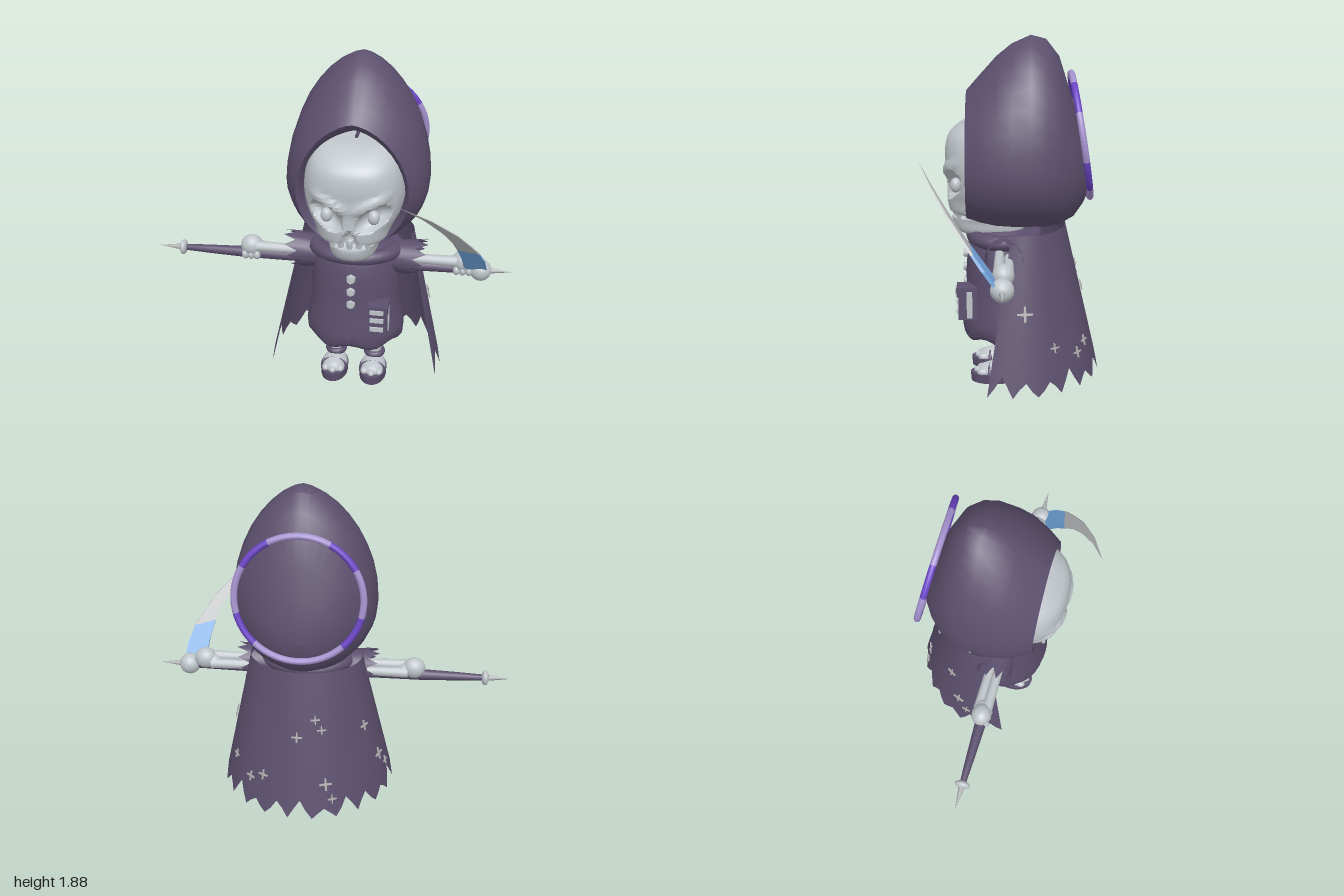
import * as THREE from 'three';
import { toCreasedNormals } from 'three/addons/utils/BufferGeometryUtils.js';

const mat = (name, color, side = THREE.FrontSide) => {
  const m = new THREE.MeshStandardMaterial({ color, side });
  m.name = name;
  return m;
};

// Closed loft through rings of equal point count
function loft(rings, crease = 0.7) {
  const n = rings[0].length, index = [];
  for (let i = 0; i < rings.length - 1; i++)
    for (let j = 0; j < n; j++) {
      const a = i * n + j, b = i * n + (j + 1) % n;
      index.push(a, b, b + n, a, b + n, a + n);
    }
  const g = new THREE.BufferGeometry();
  g.setAttribute('position', new THREE.Float32BufferAttribute(rings.flat(2), 3));
  g.setIndex(index);
  return toCreasedNormals(g, crease);
}
const ring = (n, fn) => Array.from({ length: n }, (_, i) => fn(i / n * Math.PI * 2));
const spow = (v, p) => Math.sign(v) * Math.abs(v) ** p;
const lerp = THREE.MathUtils.lerp;

// Move each vertex by a rule
function bend(g, fn) {
  const p = g.attributes.position, v = new THREE.Vector3();
  for (let i = 0; i < p.count; i++) {
    fn(v.fromBufferAttribute(p, i), i);
    p.setXYZ(i, v.x, v.y, v.z);
  }
  g.computeVertexNormals();
  return g;
}

export function createModel() {
  const cloth = mat('dark cloth', 0x5c506e, THREE.DoubleSide);
  const bone = mat('bone', 0xbfc5ca);
  const steel = mat('steel', 0xb2b4b6);
  const blue = mat('blue steel', 0x70a3da);
  const lilac = mat('lilac', 0xa592cf);
  const violet = mat('violet', 0x6c45c6);
  const star = mat('pale star', 0xb0aeae, THREE.DoubleSide);

  const model = new THREE.Group();
  const figure = new THREE.Group();
  figure.name = 'figure';
  figure.position.x = 0.138;
  const weapon = new THREE.Group();
  weapon.name = 'scythe';
  model.add(figure, weapon);
  const add = (parent, name, geo, material, x = 0, y = 0, z = 0) => {
    const m = new THREE.Mesh(geo, material);
    m.name = name;
    m.position.set(x, y, z);
    parent.add(m);
    return m;
  };
  const ball = (parent, name, material, x, y, z, rx, ry = rx, rz = rx) =>
    add(parent, name, new THREE.SphereGeometry(1, 18, 12).scale(rx, ry, rz), material, x, y, z);
  const rod = (r1, r0, h, n = 14, open = false) => new THREE.CylinderGeometry(r1, r0, h, n, 1, open);

  // Hood: egg-shaped rings from the lining, over the rim, to the back [z, half width, top, bottom]
  const hoodRings = [
    [-0.05, 0.01, 1.21, 1.19], [-0.03, 0.25, 1.46, 0.98], [0.1, 0.27, 1.51, 0.94], [0.215, 0.28, 1.555, 0.92],
    [0.24, 0.3, 1.59, 0.9], [0.17, 0.345, 1.67, 0.88], [0.08, 0.38, 1.77, 0.865], [0, 0.388, 1.835, 0.86],
    [-0.1, 0.387, 1.88, 0.86], [-0.18, 0.37, 1.86, 0.86], [-0.25, 0.335, 1.77, 0.87], [-0.33, 0.255, 1.52, 0.91],
    [-0.38, 0.175, 1.34, 0.98], [-0.41, 0.08, 1.21, 1.04], [-0.418, 0.002, 1.122, 1.118]];
  add(figure, 'hood', loft(hoodRings.map(([z, w, top, bot]) => {
    const mid = Math.min(1.2, lerp(bot, top, 0.5));
    return ring(36, t => {
      const c = Math.cos(t);
      return [w * spow(Math.sin(t), c > 0 ? 1.25 : 0.95), mid + c * (c > 0 ? top - mid : mid - bot), z];
    });
  })), cloth);

  // Skull: rows of [half width, height, front depth] with sockets, brow, nose and mouth pressed in
  const rows = [[0.01, 0.815, 0.2], [0.1, 0.82, 0.26], [0.128, 0.845, 0.3], [0.138, 0.9, 0.32], [0.155, 0.93, 0.315],
    [0.2, 0.955, 0.335], [0.22, 1.02, 0.345], [0.25, 1.08, 0.345], [0.272, 1.18, 0.35], [0.268, 1.28, 0.355],
    [0.25, 1.36, 0.335], [0.22, 1.42, 0.27], [0.18, 1.455, 0.2], [0.01, 1.465, 0.1]];
  const curve = new THREE.CatmullRomCurve3(rows.map(r => new THREE.Vector3(...r)));
  const pit = (x, y, rx, ry) => Math.max(0, 1 - ((x / rx) ** 2 + (y / ry) ** 2) ** 1.5);
  const relief = (x, y) => {
    const ax = Math.abs(x), sy = y - (ax - 0.125) * 0.4;
    return -0.075 * pit(ax - 0.125, sy - 1.105, 0.095, 0.072) + 0.02 * pit(ax - 0.11, sy - 1.195, 0.12, 0.04)
      - 0.035 * pit(ax - 0.015, y - 1.0 + ax, 0.03, 0.045) - 0.045 * pit(x, y - 0.935 + 0.3 * ax * ax, 0.17, 0.02);
  };
  add(figure, 'skull', loft(curve.getPoints(65).map(p => ring(80, t => {
    const x = Math.max(p.x, 0.005) * spow(Math.sin(t), 0.85), c = Math.cos(t);
    return [x, p.y, c > 0 ? 0.05 + (p.z - 0.05) * c ** 0.65 + (c > 0.3 ? relief(x, p.y) : 0) : 0.05 + 0.12 * c];
  })), 0.5), bone);
  for (const s of [-1, 1]) ball(figure, 'eye', bone, s * 0.125, 1.105, 0.295, 0.032, 0.04, 0.03);
  for (let i = -2; i <= 2; i++) {
    const tooth = add(figure, 'tooth', rod(0.022, 0.013, 0.045, 6), bone, i * 0.048, 0.93, 0.305 - Math.abs(i) * 0.012);
    tooth.scale.z = 0.6;
  }

  // Dress with a slightly wavy hem
  const profile = [[0, 0.31], [0.2, 0.28], [0.25, 0.255], [0.27, 0.28], [0.277, 0.34], [0.262, 0.42], [0.246, 0.54],
    [0.25, 0.6], [0.24, 0.68], [0.235, 0.76], [0.2, 0.84], [0, 0.87]].map(p => new THREE.Vector2(...p));
  add(figure, 'dress', bend(new THREE.LatheGeometry(profile, 40), v => {
    if (v.y < 0.3) v.y += 0.015 * Math.cos(6 * Math.atan2(v.x, v.z));
    v.z = v.z * 0.84 + 0.04;
  }), cloth);
  const collar = add(figure, 'collar', new THREE.TorusGeometry(0.2, 0.045, 10, 32).rotateX(Math.PI / 2), cloth, 0, 0.81, 0.04);
  collar.scale.set(1.1, 0.9, 0.85);
  for (const y of [0.697, 0.62, 0.542])
    add(figure, 'button', rod(0.022, 0.03, 0.03, 6).rotateX(Math.PI / 2), bone, 0, y, 0.248);

  // Belt pouch
  add(figure, 'pouch', new THREE.BoxGeometry(0.1, 0.175, 0.1), cloth, 0.155, 0.468, 0.235);
  add(figure, 'pouchFlap', new THREE.BoxGeometry(0.11, 0.05, 0.11), cloth, 0.155, 0.535, 0.24);
  for (const y of [0.42, 0.475, 0.53])
    add(figure, 'pouchStrap', new THREE.BoxGeometry(0.075, 0.025, 0.02), bone, 0.15, y, y > 0.5 ? 0.293 : 0.285);
  add(figure, 'pouchSide', new THREE.BoxGeometry(0.008, 0.15, 0.03), bone, 0.208, 0.465, 0.225);

  // Cape: open shell with a ragged hem; a is the angle from the middle of the back
  const capePoint = (a, y, out = 0) => {
    const k = (0.875 - y) / 0.82;
    return new THREE.Vector3((lerp(0.31, 0.49, k) + out) * Math.sin(a), y,
      lerp(-0.06, 0, k) - (lerp(0.23, 0.48, k) + out) * Math.cos(a));
  };
  const teeth = 13, reach = 1.84;
  add(figure, 'cape', bend(new THREE.PlaneGeometry(1, 1, teeth * 4, 6), v => {
    const u = (v.x + 0.5) * teeth, wave = Math.abs((u % 1) * 2 - 1);
    const hem = 0.05 + (1 - wave) * (0.085 + 0.03 * Math.sin(u * 2.3));
    v.copy(capePoint(-v.x * 2 * reach, lerp(hem, 0.875, v.y + 0.5)));
  }), cloth);

  // Four-pointed stars on the cape [angle in degrees, height, size]
  const stars = [[84, 0.48, 0.042], [60, 0.29, 0.026], [39, 0.23, 0.03], [3, 0.52, 0.03], [-12, 0.62, 0.025],
    [-17, 0.56, 0.025], [-58, 0.52, 0.03], [-18, 0.25, 0.036], [-22, 0.16, 0.026], [-70, 0.3, 0.036],
    [-78, 0.22, 0.026], [28, 0.27, 0.03]];
  for (const [deg, y, r] of stars) {
    const a = deg * Math.PI / 180;
    const shape = new THREE.Shape(Array.from({ length: 12 }, (_, i) => {
      const q = Math.floor(i / 3) * Math.PI / 2, [px, py] = [[r, -0.12 * r], [r, 0.12 * r], [0.16 * r, 0.16 * r]][i % 3];
      return new THREE.Vector2(px * Math.cos(q) - py * Math.sin(q), px * Math.sin(q) + py * Math.cos(q));
    }));
    const m = add(figure, 'capeStar', new THREE.ExtrudeGeometry(shape, { depth: 0.008, bevelEnabled: false }), star);
    m.position.copy(capePoint(a, y, 0.004));
    m.rotation.set(-0.24, Math.PI - a, 0, 'YXZ');
  }

  // Arms, legs and feet
  for (const s of [-1, 1]) {
    const side = s > 0 ? 'left' : 'right';
    add(figure, side + 'Sleeve', bend(rod(0.1, 0.085, 0.2, 20, true).rotateZ(-s * Math.PI / 2), (v, i) => {
      if (v.x * s > 0) v.x += s * ((i % 2 ? -0.05 : 0.015) + v.y * 0.3);
    }), cloth, s * 0.26, 0.757, 0.04);
    for (const d of [-1, 1])
      add(figure, side + 'ArmBone', rod(0.03, 0.022, 0.4).rotateZ(-s * Math.PI / 2), bone, s * 0.36, 0.748 + d * 0.012, 0.04 + d * 0.024);
    ball(figure, side + 'Hand', bone, s * 0.595, 0.755, 0.042, 0.063, 0.06, 0.056);
    ball(figure, side + 'Wrist', bone, s * 0.55, 0.748, 0.042, 0.045, 0.035, 0.045);
    for (let i = 0; i < 3; i++) ball(figure, side + 'Finger', bone, s * (0.56 + i * 0.034), 0.71, 0.066, 0.021, 0.03, 0.03);

    const x = s * 0.112;
    add(figure, side + 'Thigh', rod(0.075, 0.075, 0.1, 20), cloth, x, 0.3, 0.04);
    ball(figure, side + 'Knee', cloth, x, 0.24, 0.04, 0.077, 0.048, 0.077);
    add(figure, side + 'Shin', rod(0.045, 0.036, 0.16), bone, x, 0.14, 0.03);
    add(figure, side + 'AnkleBand', new THREE.TorusGeometry(0.045, 0.018, 8, 20).rotateX(Math.PI / 2), cloth, x, 0.112, 0.03);
    add(figure, side + 'Sole', rod(0.5, 0.48, 0.05, 24).scale(0.158, 1, 0.255), cloth, x, 0.025, 0.098);
    ball(figure, side + 'Foot', bone, x, 0.05, 0.085, 0.072, 0.055, 0.108);
    for (const d of [-1, 0, 1]) ball(figure, side + 'Toe', bone, x + d * 0.042, 0.056, 0.175 - Math.abs(d) * 0.018, 0.022, 0.022, 0.032);
    const strap = add(figure, side + 'SandalStrap', new THREE.TorusGeometry(0.066, 0.011, 8, 20, Math.PI), cloth, x, 0.04, 0.12);
    strap.scale.y = 0.8;
  }

  // Tilted halo behind the hood: violet arcs between lilac ones
  const halo = new THREE.Group();
  halo.name = 'halo';
  halo.position.set(0, 1.35, -0.367);
  halo.rotation.x = 0.157;
  figure.add(halo);
  const stops = [30, 62, 118, 150, 194, 226, 314, 346, 390];
  for (let i = 0; i < 8; i++) {
    const rad = Math.PI / 180, arc = (stops[i + 1] - stops[i]) * rad;
    add(halo, 'haloArc', new THREE.TorusGeometry(0.333, 0.018, 10, 16, arc), i % 2 ? lilac : violet).rotation.z = stops[i] * rad;
  }

  // Scythe shaft, end pieces and blade
  const Y = 0.71, Z = 0.047, alongX = g => g.rotateZ(-Math.PI / 2);
  const shaft = [[0, -0.87], [0.016, -0.87], [0.024, -0.7], [0.031, -0.5], [0.031, 0.5], [0.024, 0.85], [0, 0.85]];
  add(weapon, 'shaft', alongX(new THREE.LatheGeometry(shaft.map(p => new THREE.Vector2(...p)), 16)), cloth, 0, Y, Z);
  ball(weapon, 'shaftRing', bone, -0.857, Y, Z, 0.021, 0.043, 0.043);
  add(weapon, 'rearSpike', rod(0.018, 0, 0.13, 8).rotateZ(-Math.PI / 2), steel, -0.935, Y, Z);
  ball(weapon, 'bladeSocket', bone, 0.828, Y, Z, 0.06);
  add(weapon, 'frontSpike', alongX(rod(0, 0.018, 0.13, 8)), steel, 0.935, Y, Z);
  const blade = (name, pts, material) => {
    const g = new THREE.ExtrudeGeometry(new THREE.Shape(pts.map(p => new THREE.Vector2(...p))), { depth: 0.02, bevelEnabled: false });
    add(weapon, name, bend(g, v => {
      v.z = (v.z - 0.01) * Math.min(1, (1.3 - v.y) * 2) + 0.085 + (v.y - 0.74) * 0.75;
    }), material);
  };
  blade('bladeBase', [[0.74, 0.73], [0.862, 0.73], [0.85, 0.81], [0.818, 0.885], [0.7, 0.915], [0.725, 0.83]], blue);
  blade('bladeTip', [[0.7, 0.915], [0.818, 0.885], [0.77, 0.955], [0.705, 1.04], [0.57, 1.16], [0.412, 1.257],
    [0.53, 1.165], [0.625, 1.06], [0.675, 0.98]], steel);
  return model;
}
